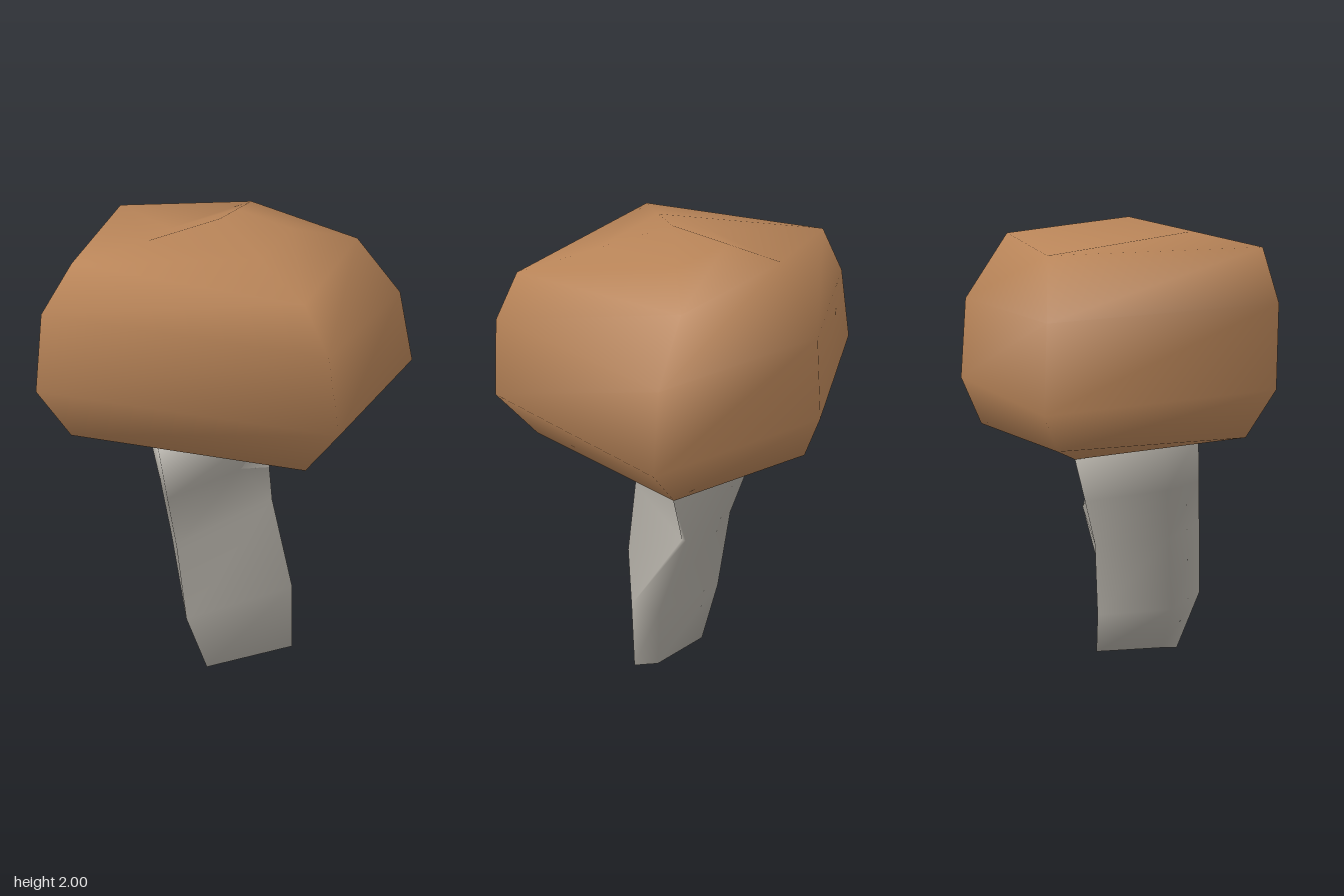
import * as THREE from 'three';

// Smooth skin over rings of corners, listed bottom to top, closed at both end points.
function loft(rings, bottom, top, material, name) {
  const n = rings[0].length;
  const points = [...rings.flat(), bottom, top];
  const low = points.length - 2, high = points.length - 1;
  const last = (rings.length - 1) * n;
  const index = [];
  for (let i = 0; i < n; i++) {
    const j = (i + 1) % n;
    for (let r = 0; r < last; r += n) {
      index.push(r + i, r + j, r + n + j, r + i, r + n + j, r + n + i);
    }
    index.push(low, j, i, high, last + i, last + j);
  }
  const geometry = new THREE.BufferGeometry();
  geometry.setAttribute('position', new THREE.Float32BufferAttribute(points.flat(), 3));
  geometry.setIndex(index);
  geometry.computeVertexNormals();
  const mesh = new THREE.Mesh(geometry, material);
  mesh.name = name;
  return mesh;
}

export function createModel() {
  const brown = new THREE.MeshStandardMaterial({ color: 0xb88458 });
  brown.name = 'cap brown';
  const grey = new THREE.MeshStandardMaterial({ color: 0xaba79f });
  grey.name = 'stem grey';

  // Cap: five-sided, slightly tilted dome with a dip at the back left of its crown.
  // Corners: front left, front right, right, back, left
  const cap = loft([
    [[-0.25, 1.1, 0.32], [0.08, 1.07, 0.24], [0.21, 1.06, 0.06], [-0.04, 1.06, -0.04], [-0.32, 1.05, -0.16]],
    [[-0.5, 1.17, 0.51], [0.47, 1.14, 0.51], [0.57, 1.1, -0.27], [0, 1.13, -0.53], [-0.63, 1.18, -0.26]],
    [[-0.6, 1.39, 0.6], [0.61, 1.35, 0.6], [0.77, 1.31, -0.32], [0.03, 1.33, -0.61], [-0.77, 1.36, -0.32]],
    [[-0.55, 1.72, 0.61], [0.56, 1.66, 0.61], [0.7, 1.62, -0.3], [0.03, 1.67, -0.58], [-0.7, 1.69, -0.3]],
    [[-0.43, 1.92, 0.57], [0.46, 1.84, 0.57], [0.51, 1.85, -0.27], [0.02, 1.94, -0.4], [-0.54, 1.915, -0.28]],
    [[-0.2, 1.96, 0.34], [0.24, 1.92, 0.34], [0.27, 1.925, -0.08], [0.02, 1.97, -0.15], [-0.2, 1.935, 0.08]],
  ], [-0.04, 1.075, 0.1], [0.02, 2, 0.11], brown, 'cap');

  // Stem: crooked and five-sided, pinched at the upper right.
  // Corners: front left, front, right, back, left
  const stem = loft([
    [[0.01, 0.01, 0.28], [0.02, 0, 0.35], [0.36, 0.01, 0.11], [0.3, 0.02, 0.02], [0.01, 0.01, -0.03]],
    [[-0.095, 0.25, 0.3], [-0.045, 0.31, 0.44], [0.355, 0.34, 0.12], [0.28, 0.3, 0.02], [-0.11, 0.25, -0.04]],
    [[-0.16, 0.62, 0.27], [-0.09, 0.66, 0.42], [0.215, 0.67, -0.06], [0.2, 0.66, -0.07], [-0.18, 0.62, -0.06]],
    [[-0.21, 0.86, 0.25], [-0.13, 0.87, 0.405], [0.09, 0.85, 0.02], [0.21, 0.86, -0.01], [-0.25, 0.84, -0.11]],
    [[-0.27, 1.09, 0.22], [-0.17, 1.09, 0.39], [0.19, 1.06, 0.08], [0.21, 1.06, 0.05], [-0.32, 1.05, -0.16]],
  ], [0.17, 0.01, 0.12], [-0.04, 1.08, 0.1], grey, 'stem');

  const model = new THREE.Group();
  model.name = 'mushroom';
  model.add(cap, stem);
  return model;
}
